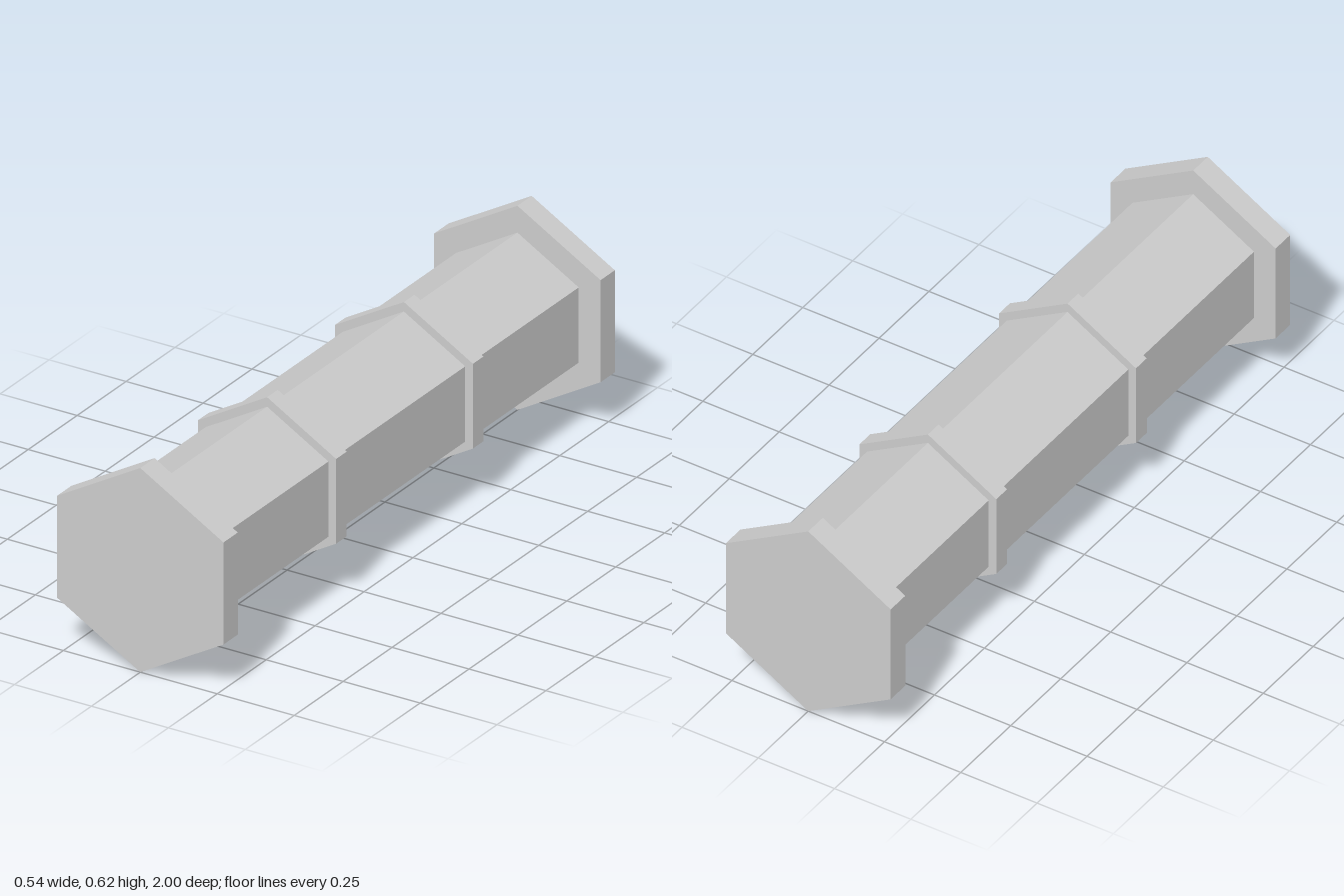
import * as THREE from 'three';

const CENTRE_Y = 0.312;

export function createModel() {
  const group = new THREE.Group();
  const material = new THREE.MeshStandardMaterial({ color: 0xcccccc, flatShading: true });

  // Hexagonal prism along z, with a corner pointing up
  function addHexPrism(name, radius, zBack, zFront) {
    const geometry = new THREE.CylinderGeometry(radius, radius, zFront - zBack, 6);
    geometry.rotateX(Math.PI / 2);
    const mesh = new THREE.Mesh(geometry, material);
    mesh.name = name;
    mesh.position.set(0, CENTRE_Y, (zBack + zFront) / 2);
    group.add(mesh);
  }

  // Long shaft, ending inside the caps
  addHexPrism('shaft', 0.23, -0.95, 0.95);

  // Wide end caps
  addHexPrism('frontCap', 0.312, 0.927, 1);
  addHexPrism('backCap', 0.312, -1, -0.927);

  // Thin raised bands
  addHexPrism('frontBand', 0.259, 0.298, 0.352);
  addHexPrism('backBand', 0.259, -0.401, -0.347);

  return group;
}
